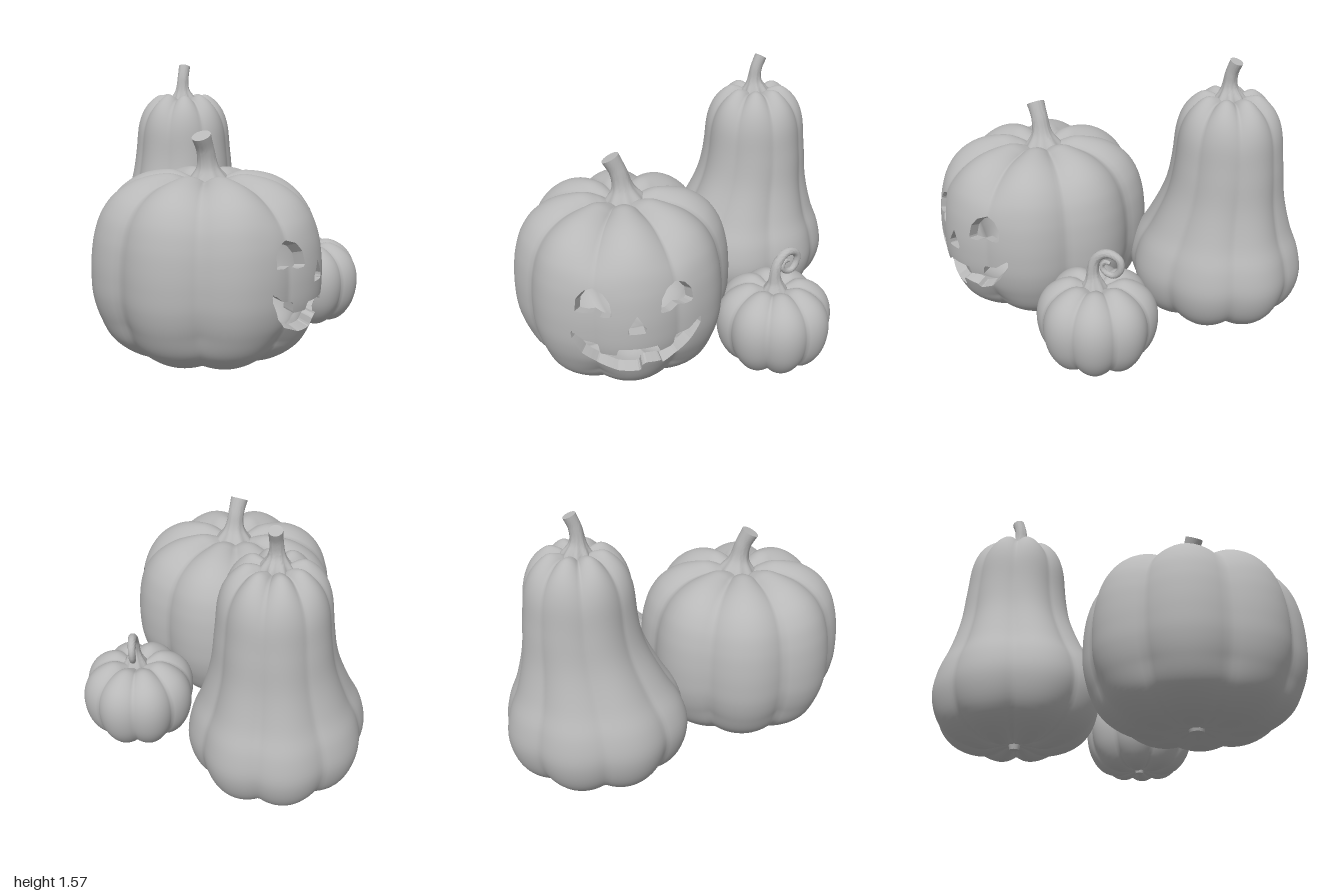
import * as THREE from 'three';
import { toCreasedNormals } from 'three/addons/utils/BufferGeometryUtils.js';

const V2 = (x, y) => new THREE.Vector2(x, y);
const V3 = (x, y, z) => new THREE.Vector3(x, y, z);
const step = THREE.MathUtils.smoothstep;

// Closed skin: a profile of [radius, height] turned round y, pressed in along the grooves.
function lobedSkin({ profile, cols, rows, lobes, phase = 0, depth, midY, fade, place = p => p, warp = 0, mask = () => 0 }) {
  const curve = new THREE.SplineCurve(profile.map(p => V2(...p)));
  const pos = [], index = [];
  for (let j = 0; j <= rows; j++) {
    const p = curve.getPoint(j / rows), r = Math.max(p.x, 0);
    for (let i = 0; i < cols; i++) {
      const t = i / cols * Math.PI * 2, a = t - warp * Math.sin(t);
      const c = Math.abs(Math.cos((a - phase) * lobes / 2)) ** 0.85;
      const groove = (1 - c) * depth * Math.min(1, r / fade) * (1 - mask(a, p.y));
      const k = 1 - groove;
      pos.push(...place(V3(r * k * Math.cos(a), midY + (p.y - midY) * k, r * k * Math.sin(a))).toArray());
      if (j < rows) {
        const n = (i + 1) % cols, A = j * cols + i, B = j * cols + n;
        index.push(A, A + cols, B, B, A + cols, B + cols);
      }
    }
  }
  const g = new THREE.BufferGeometry();
  g.setAttribute('position', new THREE.Float32BufferAttribute(pos, 3));
  g.setIndex(index);
  g.computeVertexNormals();
  return g;
}

// Tapered tube with a flat cut end and ridges that fade out from the base.
function stemGeometry(points, radii, segs, ridge, sides = 24) {
  const path = new THREE.CatmullRomCurve3(points.map(p => V3(...p)));
  const g = new THREE.TubeGeometry(path, segs, 1, sides);
  const pos = g.attributes.position, v = V3();
  const taper = new THREE.SplineCurve(radii.map((r, i) => V2(i, r)));
  for (let i = 0; i <= segs; i++) {
    const u = i / segs, c = path.getPointAt(u), end = path.getPointAt(Math.min(i, segs - 1) / segs);
    for (let j = 0; j <= sides; j++) {
      const n = i * (sides + 1) + j;
      const flute = 1 + ridge * (1 - u) ** 2 * Math.cos(j / sides * Math.PI * 16);
      const r = i === segs ? 0 : taper.getPoint(u).y * flute;
      v.fromBufferAttribute(pos, n).sub(c).multiplyScalar(r).add(end);
      pos.setXYZ(n, v.x, v.y, v.z);
    }
  }
  return toCreasedNormals(g, 0.9);
}

// Distance to a closed outline, negative inside it.
function outlineDistance(poly, x, y) {
  let d = Infinity, inside = false;
  for (let i = 0, j = poly.length - 1; i < poly.length; j = i++) {
    const [ax, ay] = poly[j], [bx, by] = poly[i], ex = bx - ax, ey = by - ay;
    const t = THREE.MathUtils.clamp(((x - ax) * ex + (y - ay) * ey) / (ex * ex + ey * ey), 0, 1);
    d = Math.min(d, Math.hypot(x - ax - ex * t, y - ay - ey * t));
    if ((ay > y) !== (by > y) && x < ax + ex * (y - ay) / ey) inside = !inside;
  }
  return inside ? -d : d;
}

// Cuts the outlines through a skin on its +x side: outer skin, hollow inside and cut walls.
function carve(skin, outlines, centre, inner) {
  const P = skin.attributes.position, N = skin.attributes.normal, idx = skin.index.array;
  const verts = [];
  for (let i = 0; i < P.count; i++) {
    const p = V3().fromBufferAttribute(P, i);
    const s = p.x < 0.2 ? 1 : Math.min(...outlines.map(o => outlineDistance(o, p.z, p.y)));
    verts.push({ p, n: V3().fromBufferAttribute(N, i), s });
  }
  const inward = p => p.clone().sub(centre).multiplyScalar(inner).add(centre);
  const pos = [], nor = [], wall = [];
  const put = (p, n, sign) => { pos.push(p.x, p.y, p.z); nor.push(n.x * sign, n.y * sign, n.z * sign); };
  for (let t = 0; t < idx.length; t += 3) {
    const poly = [];
    let leave = null, enter = null;
    for (let k = 0; k < 3; k++) {
      const a = verts[idx[t + k]], b = verts[idx[t + (k + 1) % 3]];
      if (a.s > 0) poly.push(a);
      if ((a.s > 0) !== (b.s > 0)) {
        const f = a.s / (a.s - b.s);
        const c = { p: a.p.clone().lerp(b.p, f), n: a.n.clone().lerp(b.n, f).normalize() };
        poly.push(c);
        if (a.s > 0) leave = c; else enter = c;
      }
    }
    for (let k = 1; k + 1 < poly.length; k++) {
      const tri = [poly[0], poly[k], poly[k + 1]];
      tri.forEach(q => put(q.p, q.n, 1));
      tri.reverse().forEach(q => put(inward(q.p), q.n, -1));
    }
    if (leave && enter) {
      const A = leave.p, B = enter.p, a = inward(A), b = inward(B);
      for (const q of [A, a, B, B, a, b]) wall.push(q.x, q.y, q.z);
    }
  }
  const shell = new THREE.BufferGeometry(), walls = new THREE.BufferGeometry();
  shell.setAttribute('position', new THREE.Float32BufferAttribute(pos, 3));
  shell.setAttribute('normal', new THREE.Float32BufferAttribute(nor, 3));
  walls.setAttribute('position', new THREE.Float32BufferAttribute(wall, 3));
  walls.computeVertexNormals();
  return { shell, walls };
}

export function createModel() {
  const model = new THREE.Group();
  model.name = 'pumpkinGroup';
  const grey = new THREE.MeshStandardMaterial({ color: 0xb8b8b8 });
  grey.name = 'clay grey';
  const part = (parent, name, geometry) => {
    const m = new THREE.Mesh(geometry, grey);
    m.name = name;
    parent.add(m);
    return m;
  };
  const group = (name, x, z) => {
    const g = new THREE.Group();
    g.name = name;
    g.position.set(x, 0, z);
    model.add(g);
    return g;
  };
  const blossomEnd = (parent, r, y) => part(parent, 'blossomEnd', new THREE.CylinderGeometry(r, r * 0.8, 0.03, 16)).position.set(0, y, 0);

  // Carved pumpkin, its face turned to +x
  const lantern = group('carvedPumpkin', 0.23, 0.385);
  const lanternSkin = lobedSkin({
    profile: [[0, 0.05], [0.12, 0.025], [0.25, 0.002], [0.4, 0.035], [0.53, 0.125], [0.6, 0.25], [0.635, 0.37], [0.643, 0.49],
      [0.638, 0.6], [0.62, 0.71], [0.58, 0.82], [0.505, 0.915], [0.385, 0.985], [0.23, 1.013], [0.13, 0.99], [0.06, 0.955], [0, 0.95]],
    cols: 152, rows: 130, lobes: 8, depth: 0.085, midY: 0.5, fade: 0.25, warp: 0.6,
    place: p => p.setZ(p.z * 0.96),
    mask: (a, y) => {
      const off = Math.min(a, Math.PI * 2 - a);
      const face = 0.5 * (1 - step(off, 0.5, 0.9)) * step(y, 0.08, 0.3) * (1 - step(y, 0.72, 0.96));
      return Math.max(face, 0.5 * (1 - step(y, 0.02, 0.25)));
    },
  });
  const eye = [[0.31, 0.6], [0.302, 0.67], [0.265, 0.713], [0.215, 0.73], [0.165, 0.71], [0.135, 0.665], [0.125, 0.588],
    [0.18, 0.583], [0.22, 0.603], [0.26, 0.595]];
  const nose = [[0, 0.597], [0.047, 0.52], [0.047, 0.49], [-0.047, 0.49], [-0.047, 0.52]];
  const mouth = [[0.34, 0.485], [0.333, 0.435], [0.285, 0.34], [0.205, 0.275], [0.1, 0.232], [-0.02, 0.227], [-0.025, 0.275],
    [-0.045, 0.29], [-0.13, 0.275], [-0.14, 0.248], [-0.22, 0.285], [-0.3, 0.365], [-0.355, 0.445], [-0.355, 0.493],
    [-0.285, 0.435], [-0.205, 0.42], [-0.195, 0.365], [-0.12, 0.355], [-0.11, 0.397], [0.1, 0.397], [0.11, 0.355],
    [0.19, 0.355], [0.2, 0.413], [0.27, 0.43]];
  const { shell, walls } = carve(lanternSkin, [eye, eye.map(([x, y]) => [-x, y]), nose, mouth], V3(0, 0.5, 0), 0.9);
  part(lantern, 'carvedShell', shell);
  part(lantern, 'faceCutWalls', walls);
  part(lantern, 'stem', stemGeometry([[0, 0.94, -0.025], [0, 1.05, -0.01], [-0.002, 1.13, 0.01], [-0.007, 1.22, 0.055]],
    [0.125, 0.062, 0.049, 0.053], 28, 0.08, 48));
  blossomEnd(lantern, 0.05, 0.04);

  // Tall gourd, its neck leaning slightly back
  const gourd = group('tallGourd', -0.4, -0.475);
  part(gourd, 'gourdBody', lobedSkin({
    profile: [[0, 0.05], [0.09, 0.025], [0.2, 0.002], [0.35, 0.055], [0.445, 0.15], [0.488, 0.3], [0.465, 0.45], [0.402, 0.6],
      [0.34, 0.8], [0.312, 1.0], [0.292, 1.18], [0.245, 1.295], [0.165, 1.368], [0.1, 1.365], [0.05, 1.34], [0, 1.335]],
    cols: 144, rows: 70, lobes: 8, phase: -1.335, depth: 0.065, midY: 0.5, fade: 0.15,
    mask: (a, y) => 0.3 * step(y, 0.5, 1),
    place: p => {
      const neck = step(p.y, 0.35, 1);
      return p.setZ(p.z * (1.08 - 0.06 * neck) - 0.065 * neck);
    },
  }));
  part(gourd, 'stem', stemGeometry([[0, 1.325, -0.06], [0, 1.42, -0.055], [0, 1.49, -0.065], [-0.005, 1.565, -0.095]],
    [0.09, 0.045, 0.036, 0.037], 28, 0.12, 48));
  blossomEnd(gourd, 0.035, 0.03);

  // Small pumpkin with a curled stem
  const small = group('smallPumpkin', 0.5, -0.45);
  part(small, 'smallBody', lobedSkin({
    profile: [[0, 0.045], [0.06, 0.02], [0.15, 0.005], [0.24, 0.04], [0.305, 0.13], [0.332, 0.24], [0.325, 0.34], [0.285, 0.42],
      [0.215, 0.475], [0.14, 0.495], [0.07, 0.468], [0.03, 0.445], [0, 0.44]],
    cols: 112, rows: 50, lobes: 8, depth: 0.095, midY: 0.25, fade: 0.1,
  }));
  const curl = [[0.006, 0.44], [0.004, 0.49], [0, 0.552], [0.012, 0.616], [0.047, 0.659], [0.1, 0.675], [0.154, 0.648],
    [0.16, 0.595], [0.124, 0.552], [0.077, 0.557], [0.053, 0.589], [0.071, 0.621], [0.107, 0.616]];
  part(small, 'curledStem', stemGeometry(curl.map(([h, y]) => [0.02 - 0.43 * h, y, 0.01 - 0.9 * h]),
    [0.075, 0.038, 0.029, 0.025, 0.022, 0.02, 0.017, 0.014, 0.011], 90, 0.08, 32));
  blossomEnd(small, 0.03, 0.03);

  return model;
}
